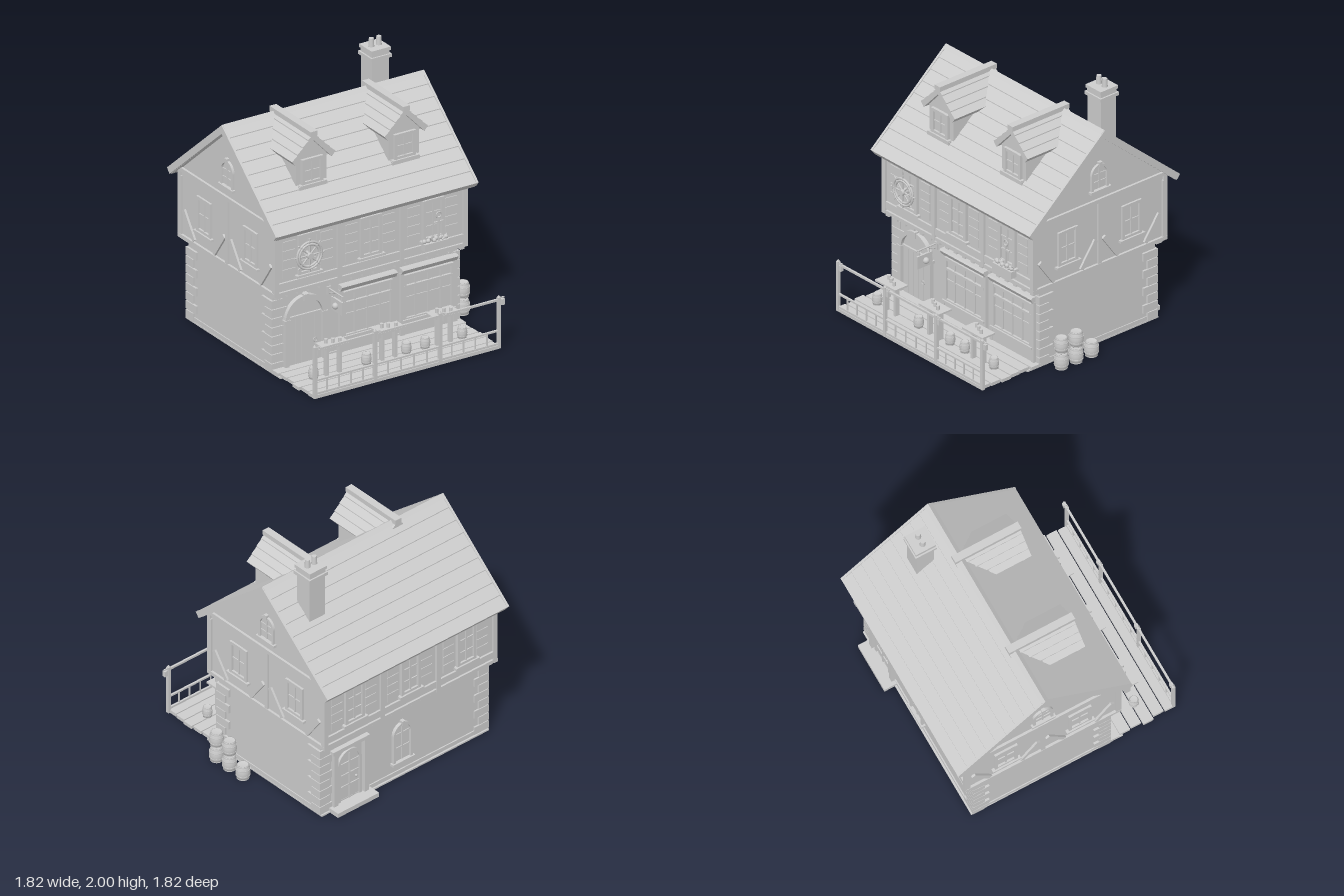
import * as THREE from 'three';

const grey = new THREE.MeshStandardMaterial({ color: 0xcccccc });
grey.name = 'light grey';
const CX = -0.05, CZ = -0.2; // centre of the house

function add(parent, name, geo, x = 0, y = 0, z = 0) {
  const m = new THREE.Mesh(geo, grey);
  m.name = name;
  m.position.set(x, y, z);
  parent.add(m);
  return m;
}
const box = (p, name, x, y, z, w, h, d) => add(p, name, new THREE.BoxGeometry(w, h, d), x, y, z);
const cyl = (p, name, x, y, z, r, h, r2 = r) => add(p, name, new THREE.CylinderGeometry(r2, r, h, 16), x, y, z);
function group(parent, name, x = 0, y = 0, z = 0, turn = 0) {
  const g = new THREE.Group();
  g.name = name;
  g.position.set(x, y, z);
  g.rotation.y = turn;
  parent.add(g);
  return g;
}
const extrude = (shape, depth) => new THREE.ExtrudeGeometry(shape, { depth, bevelEnabled: false, curveSegments: 16 });
const poly = pts => new THREE.Shape(pts.map(p => new THREE.Vector2(...p)));

// Gable roof slab with overlapping plank rows, ridge along z
function gableRoof(half, slope, thick, rows, lift, length) {
  const right = [];
  for (let i = 0; i < rows; i++) {
    const a = half * i / rows, b = half * (i + 1) / rows;
    right.push([a, -a * slope], [b, -b * slope + lift]);
  }
  const bottom = -half * slope - thick * 0.6;
  right.push([half - 0.03, bottom]);
  const left = right.slice(1).reverse().map(([x, y]) => [-x, y]);
  const apex = -thick;
  return extrude(poly([...left, ...right, [0, apex]]), length).translate(0, 0, -length / 2);
}

// Rectangular window facing +z, bottom at y = 0
function sashWindow(parent, x, y, z, w, h, cols = 2, rows = 2, sill = true) {
  const g = group(parent, 'window', x, y, z);
  box(g, 'pane', 0, h / 2, 0.003, w, h, 0.006);
  for (const s of [-1, 1]) box(g, 'windowJamb', s * (w / 2 - 0.012), h / 2, 0.012, 0.024, h, 0.024);
  for (const yy of [0.012, h - 0.012]) box(g, 'windowRail', 0, yy, 0.011, w, 0.024, 0.022);
  for (let i = 1; i < cols; i++) box(g, 'mullion', -w / 2 + w * i / cols, h / 2, 0.008, 0.012, h, 0.016);
  for (let i = 1; i < rows; i++) box(g, 'glazingBar', 0, h * i / rows, 0.007, w, 0.01, 0.014);
  if (sill) box(g, 'sill', 0, -0.004, 0.018, w + 0.045, 0.018, 0.036);
  return g;
}

function archShape(r, bottom, spring) {
  const s = new THREE.Shape();
  s.moveTo(-r, bottom);
  s.lineTo(r, bottom);
  s.lineTo(r, spring);
  s.absarc(0, spring, r, 0, Math.PI, false);
  s.lineTo(-r, bottom);
  return s;
}
// Arched opening facing +z with a raised surround
function arched(parent, name, x, y, z, r, spring, rim, depth) {
  const g = group(parent, name, x, y, z);
  const frame = archShape(r, 0, spring);
  frame.holes.push(archShape(r - rim, 0.001, spring));
  add(g, 'archSurround', extrude(frame, depth));
  add(g, 'archPanel', extrude(archShape(r - rim, 0, spring), 0.008));
  return g;
}
function archWindow(parent, x, y, z, r, spring) {
  const g = arched(parent, 'archedWindow', x, y, z, r, spring, 0.02, 0.025);
  box(g, 'mullion', 0, (spring + r) / 2, 0.008, 0.012, spring + r - 0.02, 0.016);
  for (const t of [0.5, 1]) box(g, 'glazingBar', 0, spring * t, 0.008, 2 * r - 0.03, 0.01, 0.014);
  box(g, 'sill', 0, -0.005, 0.018, 2 * r + 0.03, 0.02, 0.036);
  box(g, 'keystone', 0, spring + r, 0.016, 0.03, 0.035, 0.032);
}

// Barrel standing on y
function barrel(parent, x, y, z, r, h) {
  const g = group(parent, 'barrel', x, y, z);
  const pts = [[0, 0], [0.78, 0], [0.93, 0.25], [1, 0.5], [0.93, 0.75], [0.78, 1], [0.7, 1], [0.7, 0.95], [0, 0.95]];
  add(g, 'staves', new THREE.LatheGeometry(pts.map(p => new THREE.Vector2(p[0] * r, p[1] * h)), 18));
  for (const [t, k] of [[0.06, 0.85], [0.3, 0.99], [0.7, 0.99], [0.94, 0.85]])
    cyl(g, 'hoop', 0, h * t, 0, r * k, h * 0.07).geometry = new THREE.CylinderGeometry(r * k, r * k, h * 0.07, 18, 1, t > 0.9 || t < 0.1);
}

// Upper long wall: timber posts, three windows with plank shutters
function longFace(parent, z, turn) {
  const g = group(parent, 'timberFace', CX, 0, z, turn);
  for (const x of [-0.803, -0.265, 0.265, 0.803]) box(g, 'post', x, 0.87, 0, 0.036, 0.48, 0.04);
  for (const [y, h] of [[0.643, 0.026], [0.7, 0.055], [1.1, 0.03]]) box(g, 'beam', 0, y, -0.002, 1.64, h, 0.036);
  for (const x of [-0.53, 0, 0.53]) {
    sashWindow(g, x, 0.757, 0, 0.18, 0.315, 2, 3);
    for (const s of [-1, 1]) for (let i = 0; i < 4; i++)
      box(g, 'shutterPlank', x + s * 0.16, 0.79 + i * 0.073, 0, 0.105, 0.068, 0.014);
  }
}
// Upper end wall: timber frame, braces, two windows, arched attic window
function endFace(parent, x, turn) {
  const g = group(parent, 'gableFace', x, 0, -0.195, turn);
  for (const p of [-0.62, 0, 0.62]) box(g, 'post', p, 0.9, 0, 0.032, 0.52, 0.03);
  for (const y of [0.643, 1.167]) box(g, 'beam', 0, y, 0, 1.27, 0.03, 0.034);
  for (const s of [-1, 1]) {
    sashWindow(g, s * 0.302, 0.765, -0.008, 0.185, 0.275, 2, 2);
    for (const [p, d] of [[0.105, -1], [0.5, 1]]) {
      const b = box(g, 'brace', s * p, 0.762, 0, 0.034, 0.235, 0.03);
      b.rotation.z = -s * d * 0.62;
    }
  }
  archWindow(g, 0, 1.26, -0.008, 0.082, 0.125);
}

function dormer(parent, x) {
  const g = group(parent, 'dormer', x);
  const wall = poly([[-0.13, 1.34], [0.13, 1.34], [0.13, 1.59], [0, 1.715], [-0.13, 1.59]]);
  add(g, 'dormerWall', extrude(wall, 0.4), 0, 0, -0.15);
  add(g, 'dormerRoof', gableRoof(0.185, 1.0, 0.05, 4, 0.008, 0.53), 0, 1.755, 0.02);
  box(g, 'dormerRidge', 0, 1.757, 0.02, 0.058, 0.038, 0.54);
  sashWindow(g, 0, 1.362, 0.25, 0.18, 0.2);
  box(g, 'dormerSill', 0, 1.348, 0.262, 0.235, 0.024, 0.045);
}

function shopWindow(parent, x) {
  const g = group(parent, 'shopFront', x, 0, 0.36);
  sashWindow(g, 0, 0.14, 0.005, 0.43, 0.36, 4, 2, false);
  box(g, 'transom', 0, 0.41, 0.015, 0.43, 0.018, 0.03);
  box(g, 'stallRiser', 0, 0.085, 0.01, 0.43, 0.12, 0.024);
  box(g, 'shopSill', 0, 0.145, 0.02, 0.45, 0.018, 0.04);
  for (const s of [-1, 1]) box(g, 'pilaster', s * 0.225, 0.27, 0.014, 0.03, 0.5, 0.028);
  const hood = poly([[0, 0.5], [0.03, 0.515], [0.05, 0.55], [0.04, 0.562], [0, 0.562]]);
  add(g, 'fascia', extrude(hood, 0.475).rotateY(-Math.PI / 2), 0.2375);
}

function bar(parent, name, a, b, r) {
  const A = new THREE.Vector3(...a), B = new THREE.Vector3(...b), d = B.clone().sub(A);
  const m = add(parent, name, new THREE.CylinderGeometry(r, r, d.length(), 8));
  m.position.copy(A).add(B).multiplyScalar(0.5);
  m.quaternion.setFromUnitVectors(new THREE.Vector3(0, 1, 0), d.normalize());
}
function anchor(parent, x, y, z, k, turn = 0) {
  const g = group(parent, 'anchor', x, y, z, turn);
  add(g, 'anchorRing', new THREE.TorusGeometry(0.022 * k, 0.005 * k, 6, 14), 0, 0.2 * k, 0);
  box(g, 'anchorShank', 0, 0.09 * k, 0, 0.014 * k, 0.19 * k, 0.014 * k);
  box(g, 'anchorStock', 0, 0.145 * k, 0, 0.08 * k, 0.012 * k, 0.012 * k);
  add(g, 'anchorArms', new THREE.TorusGeometry(0.08 * k, 0.008 * k, 6, 14, 2.2).rotateZ(Math.PI + 0.47), 0, 0.075 * k, 0);
}

export function createModel() {
  const root = new THREE.Group();
  root.name = 'tavern';

  // Walls
  box(root, 'foundation', CX, 0.006, -0.15, 1.59, 0.012, 1.24);
  box(root, 'groundWalls', CX, 0.32, -0.195, 1.57, 0.62, 1.1);
  box(root, 'plinth', CX, 0.025, -0.195, 1.585, 0.04, 1.12);
  const upper = poly([[-0.615, 0.635], [0.615, 0.635], [0.615, 1.165], [0, 1.69], [-0.615, 1.165]]);
  add(root, 'upperWalls', extrude(upper, 1.61).translate(0, 0, -0.805).rotateY(Math.PI / 2), CX, 0, -0.195);
  longFace(root, 0.42, 0);
  longFace(root, -0.81, Math.PI);
  endFace(root, 0.757, Math.PI / 2);
  endFace(root, -0.857, -Math.PI / 2);
  for (let i = 0; i < 18; i++) for (const z of [0.395, -0.775]) box(root, 'joistEnd', -0.83 + i * 0.092, 0.617, z, 0.035, 0.026, 0.06);

  // Corner stones, alternating long and short
  for (const sx of [-1, 1]) for (const [zc, sz] of [[0.366, 1], [-0.758, -1]])
    for (let i = 0; i < 8; i++) {
      const l = i % 2 ? 0.135 : 0.095, w = i % 2 ? 0.095 : 0.135;
      box(root, 'cornerStone', CX + sx * (0.802 - w / 2), 0.045 + i * 0.0705, zc - sz * l / 2, w, 0.064, l);
    }

  // Main roof, bargeboards and ridge
  add(root, 'roof', gableRoof(0.712, 0.852, 0.055, 9, 0.007, 1.7).rotateY(Math.PI / 2), CX + 0.003, 1.742, CZ);
  for (const x of [-0.901, 0.807]) {
    const board = poly([[-0.714, 1.145], [0, 1.753], [0.714, 1.145], [0.682, 1.106], [0, 1.685], [-0.682, 1.106]].reverse());
    add(root, 'bargeboard', extrude(board, 0.018).translate(0, 0, -0.009).rotateY(Math.PI / 2), x, 0, CZ);
  }
  add(root, 'ridgeCap', gableRoof(0.032, 0.852, 0.02, 1, 0, 1.71).rotateY(Math.PI / 2), CX + 0.003, 1.756, CZ);
  for (const x of [-0.44, 0.348]) dormer(root, x);

  // Chimney
  const ch = group(root, 'chimney', 0.537, 0, -0.415);
  box(ch, 'stack', 0, 1.66, 0, 0.145, 0.5, 0.14);
  for (const [y, h, w] of [[1.868, 0.026, 0.175], [1.895, 0.028, 0.15], [1.922, 0.026, 0.165]]) box(ch, 'chimneyBand', 0, y, 0, w, h, w);
  for (const s of [-1, 1]) cyl(ch, 'chimneyPot', s * 0.032, 1.967, 0, 0.022, 0.066, 0.018);

  // Front door
  const door = arched(root, 'frontDoor', -0.575, 0.03, 0.36, 0.175, 0.36, 0.032, 0.035);
  box(door, 'keystone', 0, 0.52, 0.02, 0.045, 0.05, 0.05);
  for (let i = -2; i <= 2; i++) box(door, 'doorPlank', i * 0.054, 0.19, 0.01, 0.05, 0.38, 0.012);
  box(door, 'doorLintel', 0, 0.375, 0.012, 0.28, 0.016, 0.022);
  add(door, 'doorRing', new THREE.TorusGeometry(0.016, 0.004, 6, 14), 0.085, 0.16, 0.022);
  for (const s of [-1, 1]) box(door, 'impost', s * 0.16, 0.36, 0.018, 0.05, 0.025, 0.045);
  for (const x of [-0.043, 0.475]) shopWindow(root, x);

  // Back door and window
  const back = group(root, 'backEntrance', 0.47, 0, -0.745, Math.PI);
  box(back, 'backStep', 0, 0.018, 0.055, 0.39, 0.036, 0.11);
  for (const s of [-1, 1]) box(back, 'doorPost', s * 0.145, 0.27, 0.015, 0.04, 0.48, 0.04);
  box(back, 'doorHead', 0, 0.508, 0.015, 0.35, 0.03, 0.045);
  const bd = arched(back, 'backDoor', 0, 0.035, 0, 0.11, 0.32, 0.022, 0.02);
  box(bd, 'doorStile', 0, 0.2, 0.008, 0.012, 0.4, 0.016);
  for (const y of [0.12, 0.22, 0.32]) box(bd, 'doorRail', 0, y, 0.008, 0.18, 0.012, 0.016);
  add(bd, 'doorKnob', new THREE.SphereGeometry(0.01, 10, 8), 0.06, 0.17, 0.016);
  archWindow(group(root, 'backWindow', -0.03, 0, -0.745, Math.PI), 0, 0.13, 0, 0.09, 0.24);

  // Hanging sign
  const sign = group(root, 'hangingSign', -0.365);
  box(sign, 'signPlate', 0, 0.54, 0.368, 0.035, 0.06, 0.012);
  bar(sign, 'signArm', [0, 0.555, 0.36], [0, 0.555, 0.56], 0.006);
  bar(sign, 'signStay', [0, 0.515, 0.37], [0, 0.555, 0.46], 0.004);
  for (const z of [0.43, 0.53]) bar(sign, 'signHanger', [0, 0.505, z], [0, 0.555, z], 0.003);
  box(sign, 'signBoard', 0, 0.46, 0.48, 0.016, 0.1, 0.14);
  for (const s of [-1, 1]) add(sign, 'signBoss', new THREE.SphereGeometry(0.025, 12, 8), s * 0.014, 0.46, 0.475);

  // Ship's wheel
  const wheel = group(root, 'shipWheel', -0.6, 0.915, 0.475);
  for (const r of [0.105, 0.085]) add(wheel, 'wheelRim', new THREE.TorusGeometry(r, 0.009, 8, 32));
  for (let i = 0; i < 8; i++) {
    const a = i * Math.PI / 4;
    bar(wheel, 'spoke', [0, 0, 0], [Math.cos(a) * 0.13, Math.sin(a) * 0.13, 0], 0.006);
  }
  cyl(wheel, 'hub', 0, 0, -0.005, 0.024, 0.06).rotation.x = Math.PI / 2;

  // Flower box with anchor
  const fb = group(root, 'flowerBox', 0.48, 0, 0.46);
  box(fb, 'planter', 0, 0.722, 0, 0.205, 0.055, 0.05);
  for (let i = 0; i < 8; i++) add(fb, 'flower', new THREE.IcosahedronGeometry(0.017, 1), -0.088 + i * 0.025, 0.762 + (i % 3) * 0.006, (i % 2) * 0.014 - 0.007);
  anchor(fb, 0.025, 0.752, 0.008, 1);

  // Deck boards
  for (let i = 0; i < 6; i++) box(root, 'deckBoard', CX + (i % 2 ? 0.005 : 0), 0.02, 0.86 - i * 0.092, i % 3 === 2 ? 1.6 : 1.57, 0.026, 0.083);
  // Railing
  const rail = group(root, 'railing', 0, 0, 0.893);
  for (const [y, h] of [[0.39, 0.016], [0.148, 0.013], [0.045, 0.016]]) box(rail, 'rail', CX + 0.005, y, 0, 1.58, h, 0.016);
  const posts = [-0.825, -0.314, 0.24, 0.74];
  posts.forEach((x, i) => {
    box(rail, 'railPost', x, 0.21, 0, 0.024, 0.4, 0.024);
    add(rail, 'postCap', new THREE.ConeGeometry(0.017, 0.02, 4).rotateY(Math.PI / 4), x, 0.418, 0);
    box(rail, 'lanternArm', x + 0.02, 0.402, 0, 0.05, 0.008, 0.01);
    box(rail, 'lantern', x + 0.032, 0.368, 0, 0.026, 0.045, 0.026);
    if (i < 3) for (let k = 1; k < 5; k++) box(rail, 'baluster', x + (posts[i + 1] - x) * k / 5, 0.097, 0, 0.009, 0.1, 0.009);
  });

  // Tables with mugs, barrel stools
  for (const x of [-0.52, -0.045, 0.425]) {
    const t = group(root, 'table', x, 0, 0.655);
    box(t, 'tableTop', 0, 0.272, 0, 0.22, 0.014, 0.122);
    for (const s of [-1, 1]) box(t, 'tableLeg', s * 0.055, 0.15, 0, 0.02, 0.235, 0.04);
    for (const [mx, mz] of [[-0.045, -0.02], [0, 0], [0.05, 0.018]]) cyl(t, 'mug', mx, 0.295, mz, 0.013, 0.034);
  }
  for (const x of [-0.68, -0.23, 0.11, 0.27, 0.585]) barrel(root, x, 0.033, 0.65, 0.038, 0.088);

  // Stacked barrels
  for (const [y, z] of [[0, 0.245], [0, 0.105], [0, -0.04], [0.133, 0.245], [0.133, 0.105]]) barrel(root, 0.853, y, z, 0.055, 0.118);
  return root;
}
